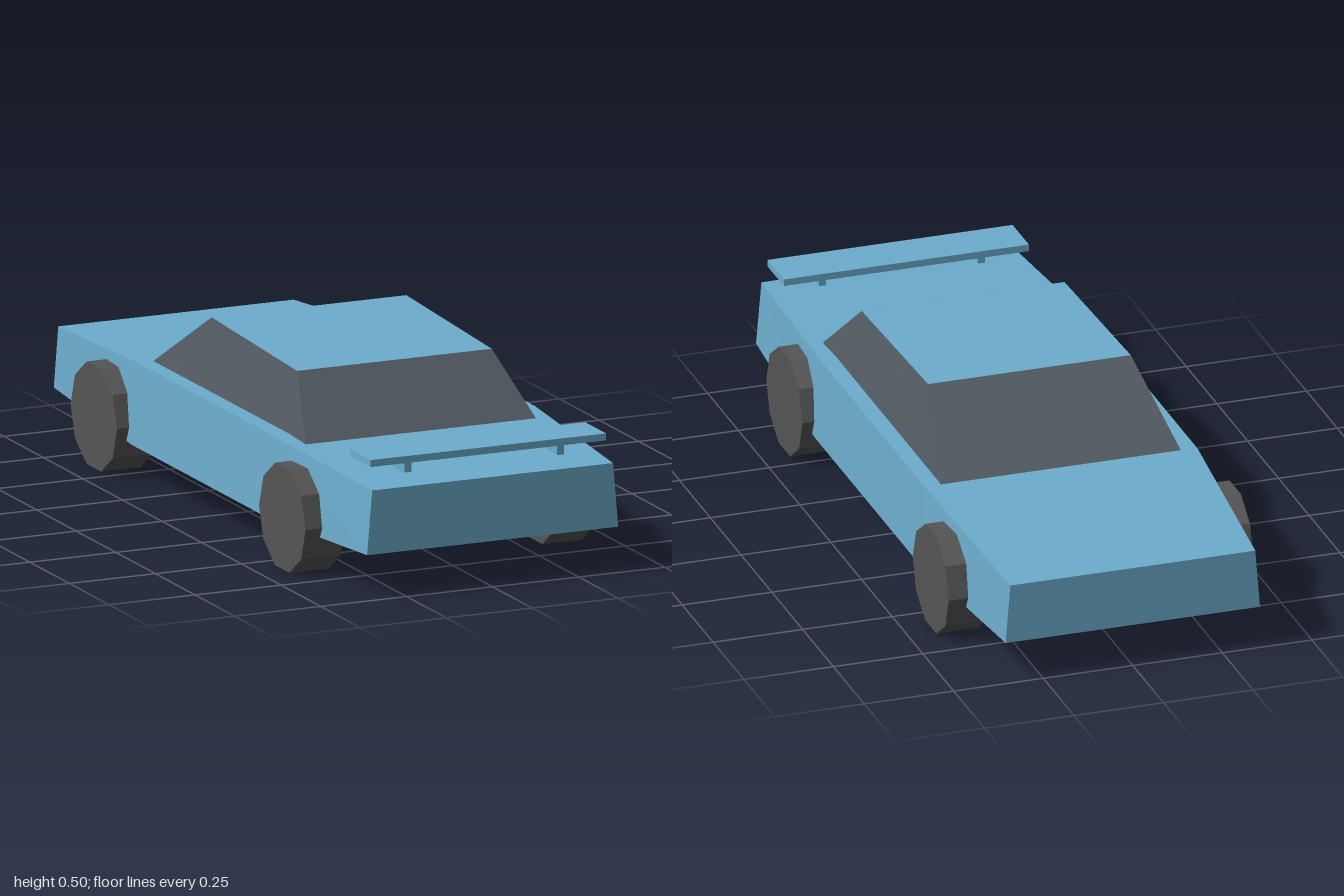
import * as THREE from 'three';

const paint = new THREE.MeshStandardMaterial({ color: 0x6cadcd, flatShading: true });
const glass = new THREE.MeshStandardMaterial({ color: 0x515962, flatShading: true });
const rubber = new THREE.MeshStandardMaterial({ color: 0x555555, flatShading: true });

// Skins four-cornered rings, each counter-clockwise seen from the last ring's side
function loft(rings, startCap, endCap) {
  const pos = [];
  const quad = (a, b, c, d) => pos.push(...a, ...b, ...c, ...a, ...c, ...d);
  for (let i = 0; i + 1 < rings.length; i++) {
    for (let j = 0; j < 4; j++) {
      const k = (j + 1) % 4;
      quad(rings[i][j], rings[i][k], rings[i + 1][k], rings[i + 1][j]);
    }
  }
  if (startCap) quad(...[...rings[0]].reverse());
  if (endCap) quad(...rings[rings.length - 1]);
  const geo = new THREE.BufferGeometry();
  geo.setAttribute('position', new THREE.Float32BufferAttribute(pos, 3));
  geo.computeVertexNormals();
  return geo;
}

export function createModel() {
  const car = new THREE.Group();
  car.name = 'car';
  const add = (name, geo, mat, x = 0, y = 0, z = 0) => {
    const mesh = new THREE.Mesh(geo, mat);
    mesh.name = name;
    mesh.position.set(x, y, z);
    car.add(mesh);
    return mesh;
  };

  // Body: z, bottom y, top y, half-width at bottom and top
  const bodyRings = [
    [-1, 0.118, 0.283, 0.355, 0.342],
    [-0.42, 0.1, 0.323, 0.395, 0.38],
    [0.44, 0.1, 0.323, 0.395, 0.38],
    [1, 0.125, 0.3, 0.365, 0.35],
  ].map(([z, yb, yt, wb, wt]) => [[-wb, yb, z], [wb, yb, z], [wt, yt, z], [-wt, yt, z]]);
  add('body', loft(bodyRings, true, true), paint);

  // Cabin: sloping windows under a slightly tilted painted roof
  const cabinRing = (w, z1, y1, z0, y0) => [[-w, y1, z1], [w, y1, z1], [w, y0, z0], [-w, y0, z0]];
  const base = cabinRing(0.335, 0.548, 0.317, -0.417, 0.322);
  const top = cabinRing(0.283, 0.38, 0.475, -0.16, 0.496);
  add('windows', loft([base, top], true, false), glass);
  add('roof', loft([top], false, true), paint);

  // Wheels: ten-sided, resting on a flat
  const wheelGeo = new THREE.CylinderGeometry(0.147, 0.147, 0.115, 10);
  wheelGeo.rotateZ(Math.PI / 2);
  for (const [side, sx] of [['left', 1], ['right', -1]]) {
    for (const [end, z] of [['Front', 0.595], ['Rear', -0.595]]) {
      add(`${side}${end}Wheel`, wheelGeo, rubber, sx * 0.3675, 0.14, z);
    }
    // Wing strut
    add(`${side}WingStrut`, new THREE.BoxGeometry(0.02, 0.032, 0.07), paint, sx * 0.222, 0.34, 0.912);
  }
  add('wing', new THREE.BoxGeometry(0.684, 0.019, 0.132), paint, 0, 0.366, 0.907);

  return car;
}
